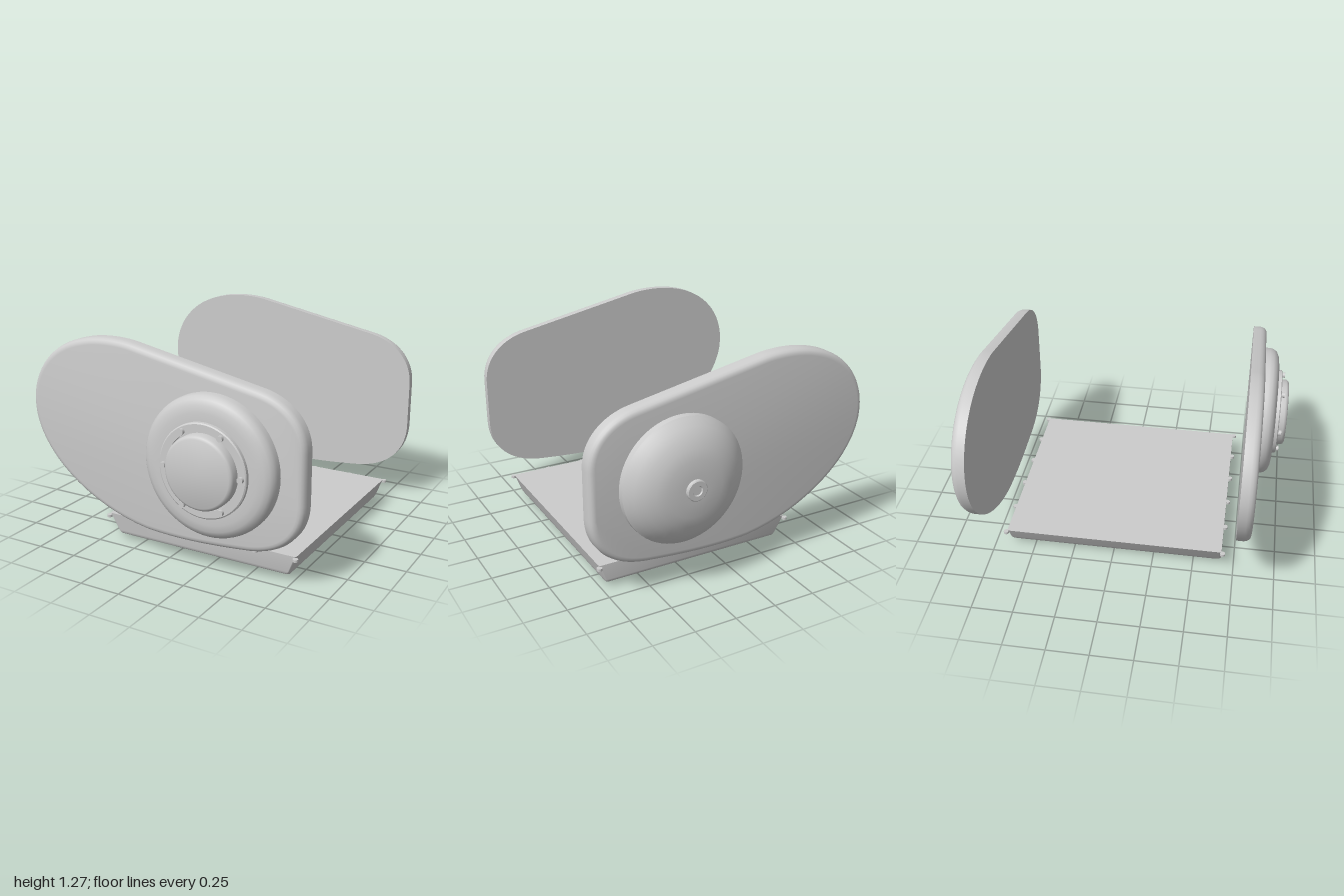
import * as THREE from 'three';
import { toCreasedNormals } from 'three/addons/utils/BufferGeometryUtils.js';

const V2 = (x, y) => new THREE.Vector2(x, y);

// Skin over closed counter-clockwise rings stacked along +z, with flat caps.
function loft(rings, crease) {
  const n = rings[0].length, pos = [], idx = [];
  rings.forEach(r => r.forEach(p => pos.push(p.x, p.y, p.z)));
  for (let k = 0; k < rings.length - 1; k++) {
    for (let i = 0; i < n; i++) {
      const a = k * n + i, b = k * n + (i + 1) % n;
      idx.push(a, b, b + n, a, b + n, a + n);
    }
  }
  const top = (rings.length - 1) * n;
  for (let i = 1; i < n - 1; i++) {
    idx.push(0, i + 1, i);
    idx.push(top, top + i, top + i + 1);
  }
  const g = new THREE.BufferGeometry();
  g.setAttribute('position', new THREE.Float32BufferAttribute(pos, 3));
  g.setIndex(idx);
  return toCreasedNormals(g, crease);
}

// Egg-shaped side cover outline
function coverOutline() {
  const s = new THREE.Shape();
  s.moveTo(0.88, 0.52);
  s.lineTo(0.88, 0.80);
  s.bezierCurveTo(0.88, 0.96, 0.76, 1.07, 0.60, 1.10);
  s.lineTo(-0.17, 1.255);
  s.bezierCurveTo(-0.26, 1.273, -0.40, 1.275, -0.50, 1.25);
  s.bezierCurveTo(-0.74, 1.20, -0.88, 1.03, -0.88, 0.83);
  s.bezierCurveTo(-0.88, 0.52, -0.50, 0.24, -0.10, 0.18);
  s.bezierCurveTo(0.10, 0.16, 0.30, 0.17, 0.55, 0.195);
  s.bezierCurveTo(0.76, 0.22, 0.88, 0.34, 0.88, 0.52);
  const pts = s.getPoints(16);
  if (pts[0].distanceTo(pts[pts.length - 1]) < 1e-5) pts.pop();
  return pts;
}

// Outline moved inward and placed at height z
function insetRing(pts, inset, z) {
  const n = pts.length;
  return pts.map((p, i) => {
    const t = pts[(i + 1) % n].clone().sub(pts[(i + n - 1) % n]).normalize();
    return new THREE.Vector3(p.x - t.y * inset, p.y + t.x * inset, z);
  });
}

// Rectangle ring with rounded corners
function rectRing(x0, x1, y0, y1, r, z) {
  const corners = [[x1 - r, y1 - r], [x0 + r, y1 - r], [x0 + r, y0 + r], [x1 - r, y0 + r]];
  const ring = [];
  corners.forEach(([cx, cy], c) => {
    for (let i = 0; i <= 4; i++) {
      const a = (c + i / 4) * Math.PI / 2;
      ring.push(new THREE.Vector3(cx + r * Math.cos(a), cy + r * Math.sin(a), z));
    }
  });
  return ring;
}

export function createModel() {
  const model = new THREE.Group();
  model.name = 'engineCovers';
  const metal = new THREE.MeshStandardMaterial({ color: 0xcccccc });
  metal.name = 'plain grey';

  const add = (parent, name, geo, x = 0, y = 0, z = 0) => {
    const m = new THREE.Mesh(geo, metal);
    m.name = name;
    m.position.set(x, y, z);
    parent.add(m);
    return m;
  };
  const group = name => {
    const g = new THREE.Group();
    g.name = name;
    model.add(g);
    return g;
  };
  // Turned part facing +z (dir 1) or -z (dir -1); profile is [radius, distance]
  const turned = (profile, dir, crease = 0.6) => {
    const g = new THREE.LatheGeometry(profile.map(([r, h]) => V2(r, h)), 64);
    g.rotateX(dir * Math.PI / 2);
    return toCreasedNormals(g, crease);
  };

  const CX = 0.345, CY = 0.66;
  const outline = coverOutline();
  // Rounded outer rim: [inset, distance from the inner face]
  const rim = [[0, 0], [0, 0.045], [0.004, 0.06], [0.012, 0.073], [0.024, 0.081], [0.038, 0.083]];

  // Front cover
  const front = group('frontCover');
  add(front, 'frontCoverPlate', loft(rim.map(([i, d]) => insetRing(outline, i, 0.75 + d)), 0.7));
  add(front, 'frontDrum', turned([
    [0.40, 0.82], [0.40, 0.865], [0.394, 0.888], [0.378, 0.908], [0.35, 0.921],
    [0.31, 0.927], [0.265, 0.928], [0, 0.928]], 1), CX, CY);
  add(front, 'frontRing', turned([
    [0.265, 0.92], [0.265, 0.948], [0.258, 0.953], [0.216, 0.953], [0.216, 0.935], [0, 0.935]], 1), CX, CY);
  add(front, 'frontDisc', turned([
    [0.207, 0.93], [0.207, 0.982], [0.20, 0.994], [0.188, 1.0], [0, 1.0]], 1), CX, CY);
  for (let i = 0; i < 6; i++) {
    const a = i * Math.PI / 3;
    const bolt = new THREE.CylinderGeometry(0.017, 0.017, 0.03, 16).rotateX(Math.PI / 2);
    add(front, 'frontBolt', bolt, CX + 0.235 * Math.cos(a), CY + 0.235 * Math.sin(a), 0.957);
  }

  // Back cover
  const back = group('backCover');
  const backRings = rim.map(([i, d]) => insetRing(outline, i, -0.735 - d)).reverse();
  add(back, 'backCoverPlate', loft(backRings, 0.7));
  add(back, 'backDome', turned([
    [0.368, 0.80], [0.368, 0.857], [0.358, 0.868], [0.325, 0.903], [0.28, 0.934],
    [0.225, 0.959], [0.165, 0.975], [0.08, 0.979], [0, 0.98]], -1, 0.7), CX, CY);
  add(back, 'backButton', turned([
    [0.06, 0.97], [0.06, 0.996], [0.055, 1.0], [0.03, 1.0], [0.026, 0.992], [0, 0.992]], -1), CX, CY);

  // Oil pan: sloped ends, straight sides with rounded lower edges
  const pan = group('oilPan');
  const panRings = [[0.03, 0.018], [0.034, 0.008], [0.042, 0.002], [0.053, 0], [0.152, 0]].map(([y, inset]) => {
    const t = (y - 0.03) / 0.122;
    return rectRing(-0.402 - 0.073 * t, 0.718 + 0.047 * t, -0.673 + inset, 0.657 - inset, 0.014, y);
  });
  add(pan, 'panBody', loft(panRings, 0.7).rotateX(-Math.PI / 2));
  for (const z of [-0.664, 0.68]) {
    for (let i = 0; i < 6; i++) {
      add(pan, 'panBolt', new THREE.CylinderGeometry(0.016, 0.016, 0.015, 16), -0.472 + i * 0.2475, 0.138, z);
    }
  }
  const plug = toCreasedNormals(new THREE.CylinderGeometry(0.036, 0.036, 0.04, 6), 0.3);
  plug.rotateY(Math.PI / 6);
  add(pan, 'drainPlug', plug, 0.146, 0.02, 0.01);

  return model;
}
